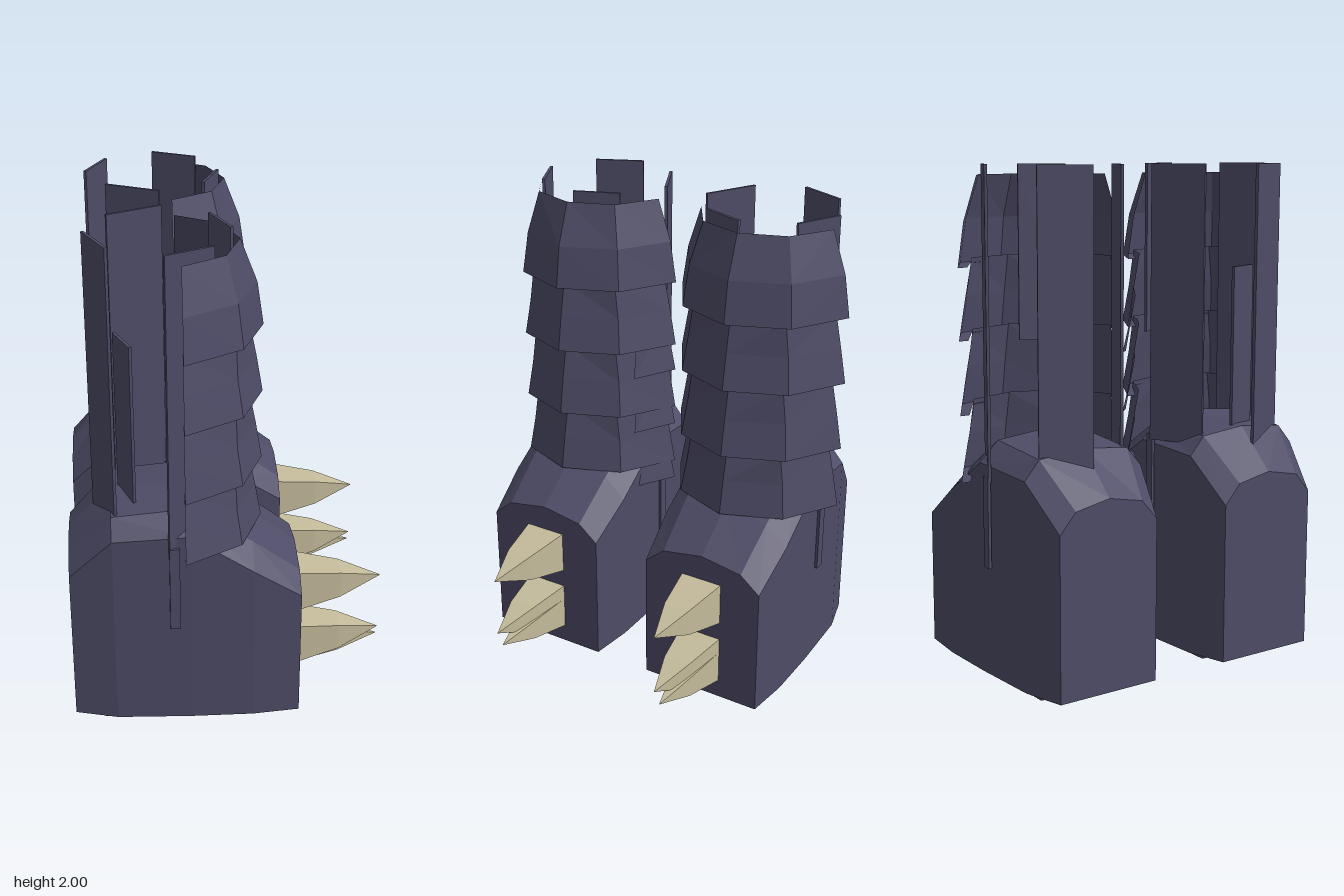
import * as THREE from 'three';

// Skin rows of points [x, y, z] with flat faces; closed rows wrap round and get end caps
function loft(rows, closed) {
  const out = [];
  const n = rows[0].length;
  for (let i = 0; i < rows.length - 1; i++) {
    for (let j = 0; j < (closed ? n : n - 1); j++) {
      const k = (j + 1) % n;
      const [a, b, c, d] = [rows[i][j], rows[i][k], rows[i + 1][k], rows[i + 1][j]];
      out.push(...a, ...b, ...c, ...a, ...c, ...d);
    }
  }
  if (closed) {
    const first = rows[0], last = rows[rows.length - 1];
    for (let j = 1; j < n - 1; j++) {
      out.push(...first[0], ...first[j + 1], ...first[j]);
      out.push(...last[0], ...last[j], ...last[j + 1]);
    }
  }
  const g = new THREE.BufferGeometry();
  g.setAttribute('position', new THREE.Float32BufferAttribute(out, 3));
  g.computeVertexNormals();
  return g;
}

// Mirror across z and restore the winding
function mirrorZ(geometry) {
  const g = geometry.index ? geometry.toNonIndexed() : geometry.clone();
  const p = g.attributes.position;
  const v = [];
  for (let i = 0; i < p.count; i += 3) {
    for (const k of [i, i + 2, i + 1]) v.push(p.getX(k), p.getY(k), -p.getZ(k));
  }
  const m = new THREE.BufferGeometry();
  m.setAttribute('position', new THREE.Float32BufferAttribute(v, 3));
  m.computeVertexNormals();
  return m;
}

const CZ = 0.39; // centre of one boot

// Chamfered foot block: x, half width, side top, chamfer half width, chamfer y, crown y
function footGeometry() {
  const sections = [
    [-0.64, 0.22, 0.67, 0.15, 0.75, 0.78],
    [-0.47, 0.265, 0.845, 0.2, 0.92, 0.94],
    [-0.17, 0.28, 0.865, 0.2, 0.945, 0.965],
    [0.08, 0.283, 0.7, 0.19, 0.785, 0.815],
    [0.27, 0.265, 0.57, 0.18, 0.64, 0.67],
  ];
  return loft(sections.map(([x, w, ys, c, yc, yt]) => [
    [x, 0.02, CZ + w], [x, 0.02, CZ - w], [x, ys, CZ - w], [x, yc, CZ - c],
    [x, yt, CZ], [x, yc, CZ + c], [x, ys, CZ + w],
  ]), true);
}

// Faceted half shell, open at the back, flaring downwards, with a turned-in lip
function shellGeometry(yTop, yBottom, topWidth, topFront) {
  const row = (y, w, xm, xc, xe = -0.19) => [
    [xe, y, CZ + w], [xm, y, CZ + w * 0.64], [xc, y, CZ],
    [xm, y, CZ - w * 0.64], [xe, y, CZ - w],
  ];
  return loft([
    row(yTop, topWidth, topFront - 0.065, topFront),
    row((yTop + yBottom) / 2, 0.348, 0.015, 0.105),
    row(yBottom, 0.375, 0.035, 0.13),
    row(yBottom, 0.335, 0.0, 0.09),
  ], false);
}

// Thin upright plate between two ground points
function plateGeometry([x1, z1], [x2, z2], y0, y1) {
  const g = new THREE.BoxGeometry(Math.hypot(x2 - x1, z2 - z1), y1 - y0, 0.012);
  g.rotateY(Math.atan2(z1 - z2, x2 - x1));
  g.translate((x1 + x2) / 2, (y0 + y1) / 2, (z1 + z2) / 2);
  return g;
}

// Square spike that bulges before it narrows to a point
function spikeGeometry(y, z, half, tipY, tipZ) {
  const ring = (x, cy, cz, h) => [
    [x, cy - h, cz + h], [x, cy - h, cz - h], [x, cy + h, cz - h], [x, cy + h, cz + h],
  ];
  return loft([
    ring(0.265, y, z, half),
    ring(0.46, (y + tipY) / 2, (z + tipZ) / 2, half * 0.62),
    ring(0.63, tipY, tipZ, 0.001),
  ], true);
}

export function createModel() {
  const armour = new THREE.MeshStandardMaterial({ color: 0x4e4c67, side: THREE.DoubleSide });
  armour.name = 'slateArmour';
  const bone = new THREE.MeshStandardMaterial({ color: 0xc4bb9b });
  bone.name = 'bone';
  const model = new THREE.Group();
  model.name = 'bootPair';

  const sole = new THREE.BoxGeometry(0.76, 0.024, 0.46);
  sole.translate(-0.14, 0.012, CZ);

  const parts = [
    ['foot', footGeometry()],
    ['sole', sole],
    // overlapping shin shells, top to bottom
    ['shinShell', shellGeometry(1.96, 1.62, 0.29, 0.04)],
    ['shinShell', shellGeometry(1.64, 1.345, 0.318, 0.075)],
    ['shinShell', shellGeometry(1.36, 1.06, 0.318, 0.075)],
    ['shinShell', shellGeometry(1.08, 0.8, 0.318, 0.075)],
    // upright calf plates
    ['rearPlate', plateGeometry([-0.535, 0.39], [-0.45, 0.58], 0.87, 2)],
    ['innerRearPlate', plateGeometry([-0.435, 0.36], [-0.375, 0.51], 0.9, 1.59)],
    ['innerSidePlate', plateGeometry([-0.45, 0.2], [-0.24, 0.095], 0.88, 2)],
    ['outerSidePlate', plateGeometry([-0.25, 0.675], [-0.07, 0.585], 0.8, 2)],
    ['frontLiner', plateGeometry([-0.06, 0.2], [0.01, 0.38], 1.3, 2)],
    // straps running down over the foot
    ['outerStrap', plateGeometry([-0.25, 0.678], [-0.21, 0.676], 0.46, 0.82)],
    ['innerStrap', plateGeometry([-0.25, 0.102], [-0.21, 0.104], 0.37, 0.9)],
  ];

  for (const side of [1, -1]) {
    const boot = new THREE.Group();
    boot.name = side > 0 ? 'nearBoot' : 'farBoot';
    const add = (name, geometry, material) => {
      const mesh = new THREE.Mesh(geometry, material);
      mesh.name = name;
      boot.add(mesh);
    };
    for (const [name, g] of parts) add(name, side > 0 ? g : mirrorZ(g), armour);

    // toe spikes, the lowest one set off to the same side on both boots
    const z = side * CZ;
    add('upperSpike', spikeGeometry(0.472, z, 0.091, 0.485, z), bone);
    add('lowerSpike', spikeGeometry(0.213, z, 0.091, 0.23, z), bone);
    add('smallSpike', spikeGeometry(0.168, z - 0.02, 0.07, 0.18, z - 0.025), bone);

    // loose slats along the inner edge of one shin
    if (side > 0) {
      for (const y of [1.22, 0.97, 0.71]) {
        add('looseSlat', loft([
          [[-0.18, y + 0.25, 0.06], [-0.07, y + 0.27, 0.13]],
          [[-0.17, y + 0.02, 0.003], [-0.03, y, 0.12]],
        ], false), armour);
      }
    }
    model.add(boot);
  }
  return model;
}
